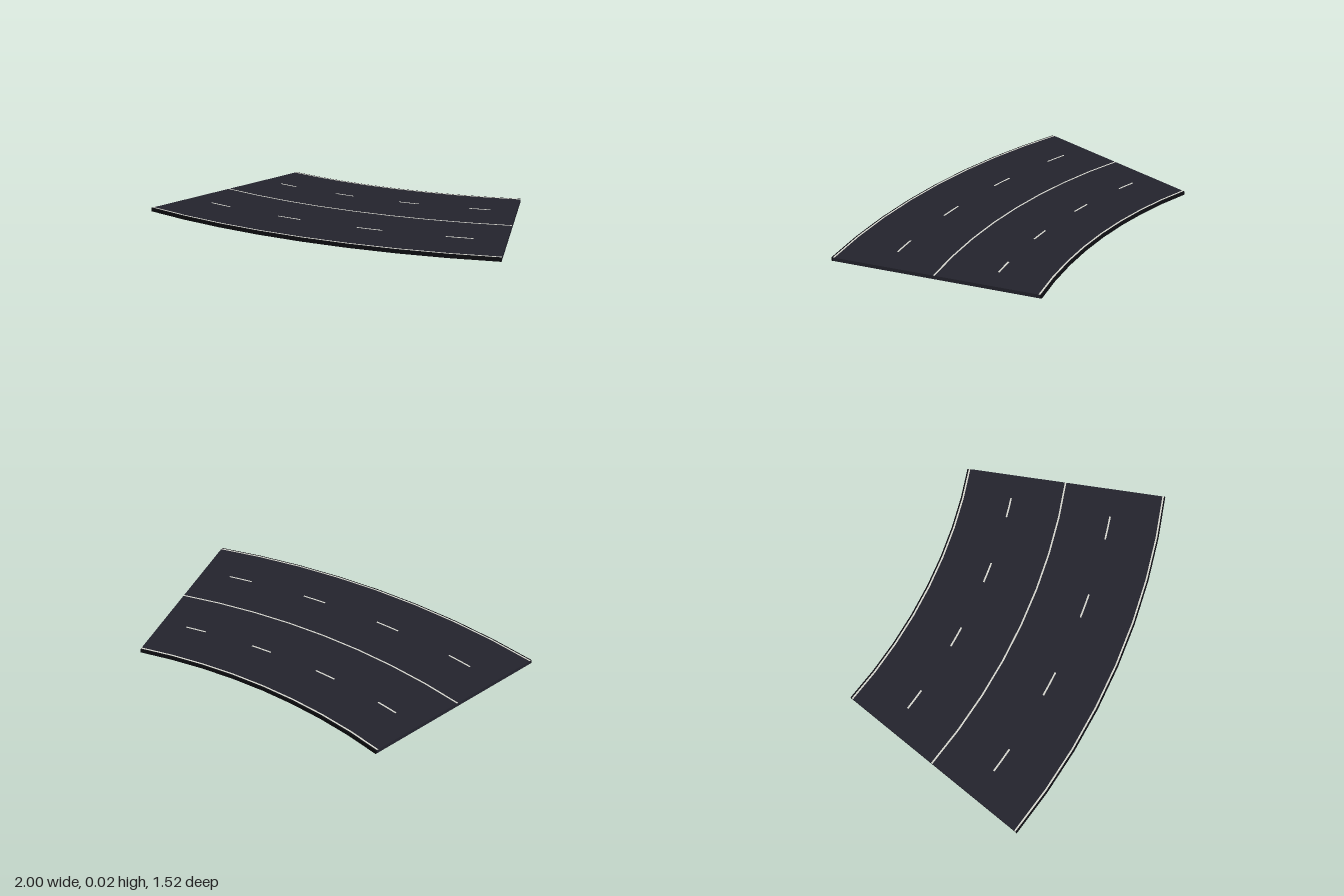
import * as THREE from 'three';

const CX = -1, CZ = -3.238;          // centre of the bend
const R_IN = 2.86, R_OUT = 4, SWEEP = Math.PI / 6;
const TOP = 0.02, SEGS = 8;

const mat = (name, color) => new THREE.MeshStandardMaterial({ name, color });

// Slab following the bend between two radii and two angles
function arcSlab(name, material, r0, r1, a0, a1, y0, y1, segs) {
  const pts = [];
  const add = (r, a) => pts.push(new THREE.Vector2(CX + r * Math.sin(a), CZ + r * Math.cos(a)));
  for (let i = 0; i <= segs; i++) add(r1, a0 + (a1 - a0) * i / segs);
  for (let i = segs; i >= 0; i--) add(r0, a0 + (a1 - a0) * i / segs);
  const geo = new THREE.ExtrudeGeometry(new THREE.Shape(pts), { depth: y1 - y0, bevelEnabled: false });
  geo.rotateX(Math.PI / 2);
  geo.translate(0, y1, 0);
  const mesh = new THREE.Mesh(geo, material);
  mesh.name = name;
  return mesh;
}

export function createModel() {
  const asphalt = mat('asphalt', 0x24242e);
  const edging = mat('darkEdging', 0x0e0e12);
  const paint = mat('whitePaint', 0xd8d8d0);
  const road = new THREE.Group();
  road.name = 'curvedRoad';

  // Road bed with dark strips along both curved sides
  const E = 0.008;
  road.add(arcSlab('roadBed', asphalt, R_IN + E, R_OUT - E, 0, SWEEP, 0, TOP, SEGS));
  road.add(arcSlab('innerEdge', edging, R_IN, R_IN + E, 0, SWEEP, 0, TOP, SEGS));
  road.add(arcSlab('outerEdge', edging, R_OUT - E, R_OUT, 0, SWEEP, 0, TOP, SEGS));

  // Solid painted lines
  const W = 0.009, MARK = TOP + 0.001;
  const lines = { innerLine: R_IN + E + W / 2, centreLine: 3.428, outerLine: R_OUT - E - W / 2 };
  for (const [name, r] of Object.entries(lines)) {
    road.add(arcSlab(name, paint, r - W / 2, r + W / 2, 0, SWEEP, TOP, MARK, SEGS));
  }

  // Lane dashes, four per lane divider
  const HALF = THREE.MathUtils.degToRad(1.1);
  for (const r of [3.14, 3.71]) {
    for (let i = 0; i < 4; i++) {
      const a = SWEEP * (i + 0.5) / 4;
      road.add(arcSlab('laneDash', paint, r - W / 2, r + W / 2, a - HALF, a + HALF, TOP, MARK, 2));
    }
  }
  return road;
}
